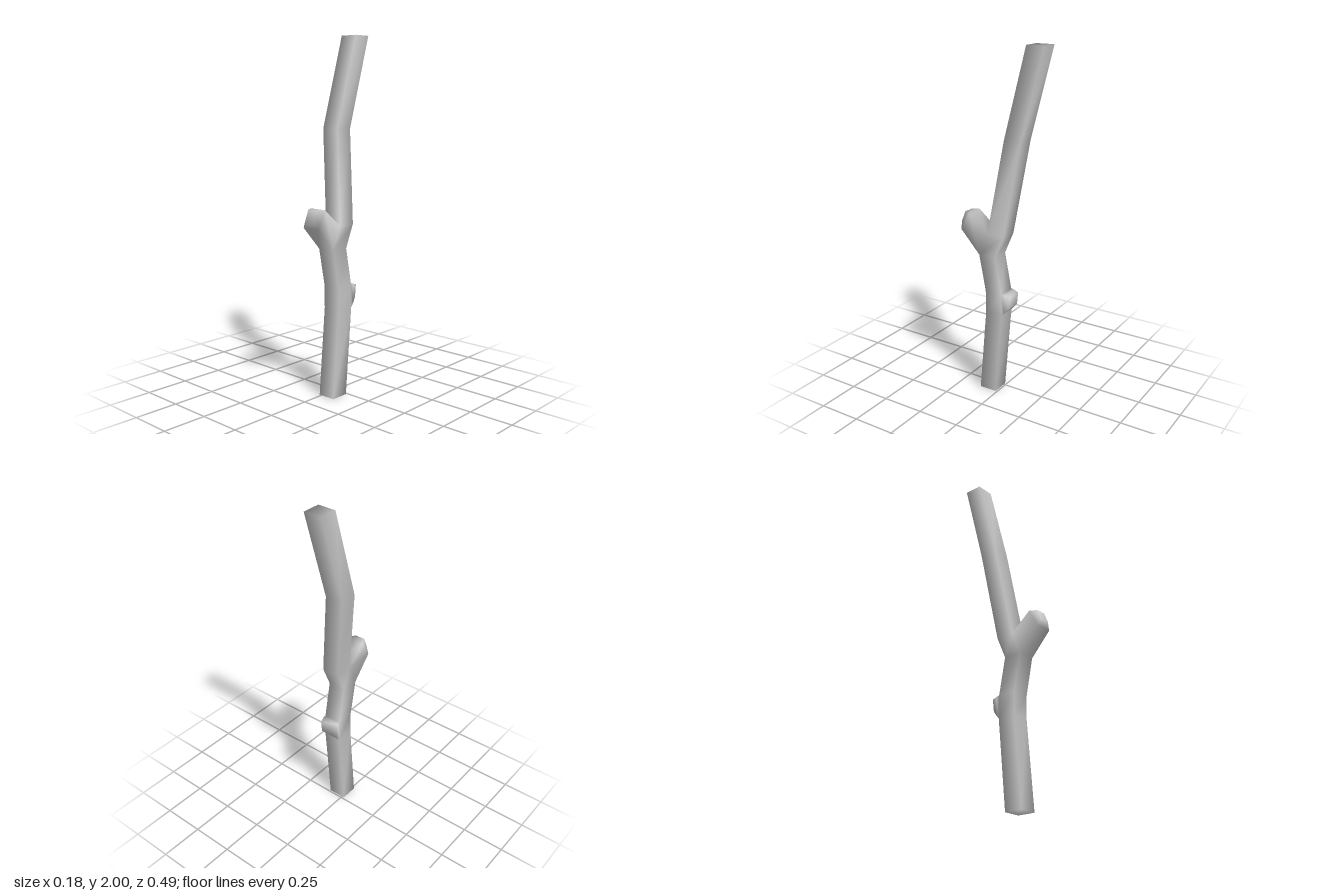
import * as THREE from 'three';

export function createModel() {
  const group = new THREE.Group();
  group.name = 'branch';
  const positions = [], indices = [];

  const vertex = (x, y, z) => positions.push(x, y, z) / 3 - 1;
  const quad = (a, b, c, d) => indices.push(a, b, c, a, c, d);

  // Joins two four-cornered loops, optionally leaving one side open
  const extrude = (from, to, openSide = -1) => {
    for (let i = 0; i < 4; i++) {
      const j = (i + 1) % 4;
      if (i !== openSide) quad(from[i], from[j], to[j], to[i]);
    }
    return to;
  };

  // Horizontal square ring, counter-clockwise from above
  const h = 0.0525;
  const ring = ([x, y, z]) => [[1, 1], [1, -1], [-1, -1], [-1, 1]]
    .map(([sx, sz]) => vertex(x + sx * h, y, z + sz * h));

  // Upright loop for a side shoot: bottom edge, then top edge
  const loop = (x0, x1, yLow, zLow, yHigh, zHigh) => [
    vertex(x0, yLow, zLow), vertex(x1, yLow, zLow),
    vertex(x1, yHigh, zHigh), vertex(x0, yHigh, zHigh),
  ];

  // Crooked stem
  const rings = [
    [0.0375, 0, 0.0625], [0.0375, 0.5, 0.019], [0.0375, 0.63, 0.021],
    [0.0375, 0.84, 0.0625], [0.0375, 0.97, 0.0075],
    [-0.0385, 1.49, -0.0525], [-0.028, 2, -0.1925],
  ].map(ring);
  const KNOT = 1, FORK = 3;
  const openSides = { [KNOT]: 1, [FORK]: 3 };
  for (let i = 0; i < rings.length - 1; i++) extrude(rings[i], rings[i + 1], openSides[i]);
  quad(...rings[0].slice().reverse());
  quad(...rings[rings.length - 1]);

  // Shoot growing out of an open stem side, closed at its tip
  const shoot = (segment, side, loops) => {
    const lo = rings[segment], hi = rings[segment + 1], next = (side + 1) % 4;
    quad(...loops.reduce((from, to) => extrude(from, to), [lo[side], lo[next], hi[next], hi[side]]));
  };

  // Forked stub at the front
  shoot(FORK, 3, [
    loop(-0.015, 0.09, 0.97, 0.235, 1.07, 0.18),
    loop(0.008, 0.067, 1.01, 0.246, 1.07, 0.222),
  ]);

  // Small knot at the back
  shoot(KNOT, 1, [
    loop(0.09, -0.015, 0.52, -0.05, 0.627, -0.05),
    loop(0.08, -0.005, 0.55, -0.077, 0.62, -0.084),
  ]);

  const geometry = new THREE.BufferGeometry();
  geometry.setAttribute('position', new THREE.Float32BufferAttribute(positions, 3));
  geometry.setIndex(indices);
  geometry.computeVertexNormals();
  const mesh = new THREE.Mesh(geometry, new THREE.MeshStandardMaterial({ color: 0xcccccc }));
  mesh.name = 'stemWithForkAndKnot';
  group.add(mesh);
  return group;
}
